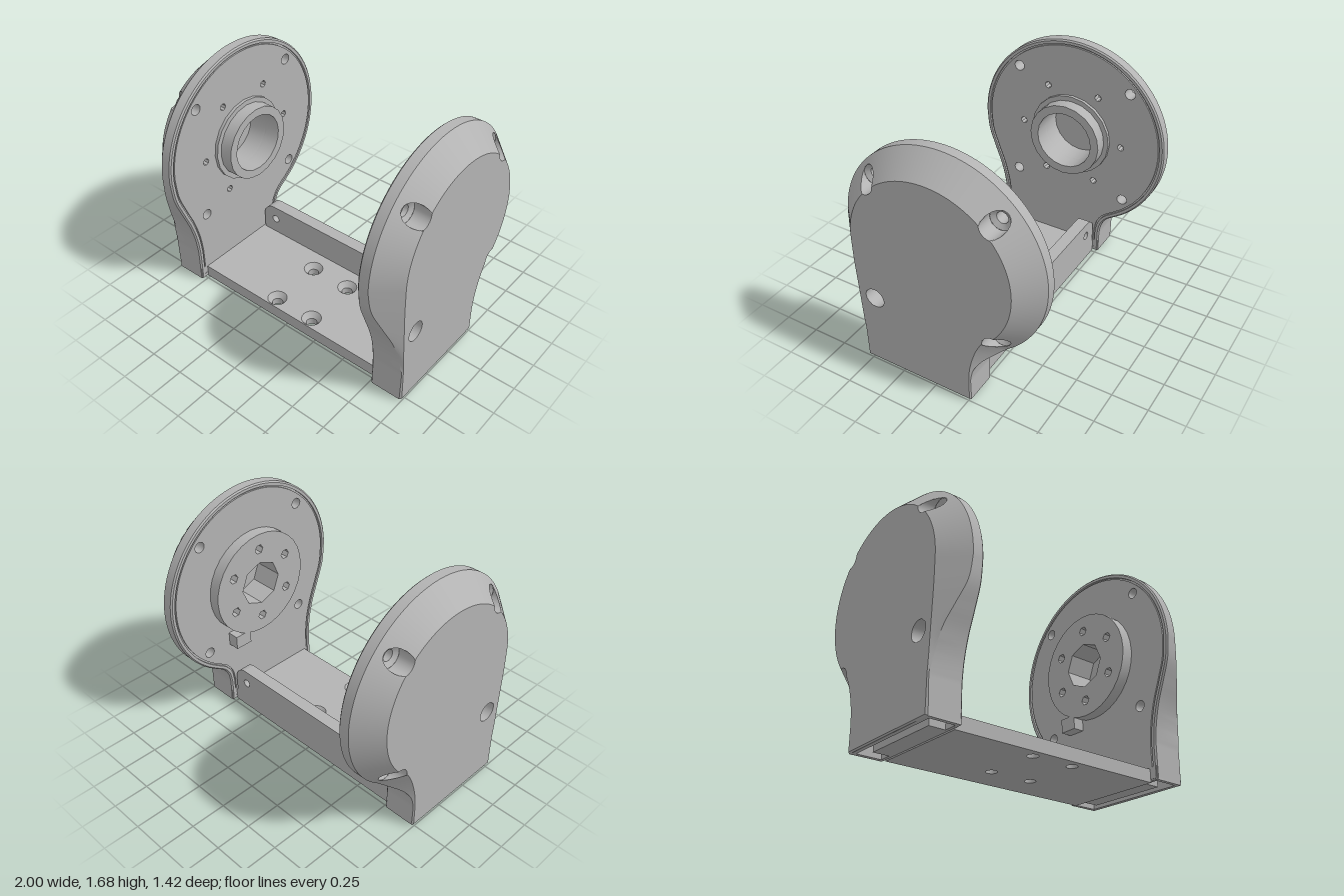
import * as THREE from 'three';
import { toCreasedNormals } from 'three/addons/utils/BufferGeometryUtils.js';

const CY = 0.965, R_OUT = 0.712, R_FACE = 0.565, SLOPE = 1.07;
const SCREWS = [[0.43, 1.395], [-0.43, 1.395], [0.43, 0.54], [-0.43, 0.54]];
const BORE = 0.07, SHAFT = 0.038;
const V = (a, b) => new THREE.Vector2(a, b);
const grey = new THREE.MeshStandardMaterial({ color: 0xb3b3b3, side: THREE.DoubleSide });
grey.name = 'grey';

function add(parent, name, geo) {
  const mesh = new THREE.Mesh(toCreasedNormals(geo, 0.5), grey);
  mesh.name = name;
  parent.add(mesh);
  return mesh;
}

function polygon(u, v, r, n) {
  return Array.from({ length: n }, (_, i) =>
    V(u + r * Math.cos((i / n) * 2 * Math.PI), v + r * Math.sin((i / n) * 2 * Math.PI)));
}

// Outline with holes, drawn in (z, y) and extruded along x
function slabX(pts, holes, x0, x1) {
  const s = new THREE.Shape(pts);
  s.holes = holes.map(h => new THREE.Path(h));
  return new THREE.ExtrudeGeometry(s, { depth: x1 - x0, bevelEnabled: false })
    .rotateY(-Math.PI / 2).translate(x1, 0, 0);
}

// Outline with holes, drawn in (x, z) and extruded along y
function slabY(pts, holes, y0, y1) {
  const s = new THREE.Shape(pts);
  s.holes = holes.map(h => new THREE.Path(h));
  return new THREE.ExtrudeGeometry(s, { depth: y1 - y0, bevelEnabled: false })
    .rotateX(Math.PI / 2).translate(0, y1, 0);
}

const rect = (u0, v0, u1, v1) => [V(u0, v0), V(u1, v0), V(u1, v1), V(u0, v1)];

// Profile of [radius, x] pairs turned about the x axis
const latheX = (profile, n, z, y) =>
  new THREE.LatheGeometry(profile.map(p => V(p[0], p[1])), n).rotateZ(-Math.PI / 2).translate(0, y, z);

// Matching outer and face outlines of a cover, running back, top, front, bottom
function outlines() {
  const outer = [], face = [];
  const curve = (list, out, n) => {
    const p = new THREE.SplineCurve(list.map(q => V(q[0], q[1]))).getPoints(n);
    out.push(...p.slice(0, -1));
  };
  const both = (a, b, n) => { curve(a, outer, n); curve(b, face, n); };
  both([[-0.265, 0.01], [-0.265, 0.18]], [[-0.257, 0.018], [-0.257, 0.18]], 6);
  both([[-0.265, 0.18], [-0.28, 0.26], [-0.32, 0.32], [-0.386, 0.367], [-0.441, 0.406]],
    [[-0.257, 0.18], [-0.265, 0.27], [-0.285, 0.36], [-0.315, 0.45], [-0.35, 0.5215]], 20);
  for (let i = 0; i < 128; i++) {
    const a = (231.7 * (1 - i / 128) * Math.PI) / 180;
    outer.push(V(R_OUT * Math.cos(a), CY + R_OUT * Math.sin(a)));
    face.push(V(R_FACE * Math.cos(a), CY + R_FACE * Math.sin(a)));
  }
  both([[0.712, 0.965], [0.695, 0.81], [0.643, 0.66], [0.59, 0.52], [0.555, 0.38], [0.54, 0.25]],
    [[0.565, 0.965], [0.563, 0.8], [0.556, 0.65], [0.548, 0.5], [0.541, 0.35], [0.533, 0.25]], 28);
  both([[0.54, 0.25], [0.54, 0.01]], [[0.533, 0.25], [0.53, 0.018]], 8);
  both([[0.54, 0.01], [-0.265, 0.01]], [[0.53, 0.018], [-0.257, 0.018]], 16);
  return { outer, face };
}

// Moves a closed outline inwards by d
function inset(pts, d) {
  const n = pts.length;
  return pts.map((p, i) => {
    const t = pts[(i + 1) % n].clone().sub(pts[(i + n - 1) % n]).normalize();
    return V(p.x + t.y * d, p.y - t.x * d);
  });
}

// Height of the cover surface around the screw holes
function coverX(z, y) {
  if (z > 0 && y < 0.9) return 1;
  return Math.min(1, 1 - (Math.hypot(z, y - CY) - R_FACE) * SLOPE);
}

// Flat face, sloped rim and side wall, with the screw holes cut out
function coverShell({ outer, face }) {
  const n = outer.length, pos = [], hole = [], idx = [];
  const FACE = 17, RIM = 7, WALL = 2, rows = FACE + RIM + WALL;
  const centre = V(0, 0.93);
  const edge = inset(outer, 0.01);
  for (let i = 0; i <= rows; i++) {
    for (let j = 0; j < n; j++) {
      const rimX = 1 - outer[j].distanceTo(face[j]) * SLOPE;
      let p, x = 1, h = 0;
      if (i <= FACE) p = centre.clone().lerp(face[j], i / FACE);
      else if (i <= FACE + RIM) {
        const t = (i - FACE) / RIM;
        p = face[j].clone().lerp(outer[j], t);
        x = 1 + (rimX - 1) * t;
      } else if (i === rows) { p = edge[j]; x = 0.765; }
      else { p = outer[j]; x = 0.775; }
      if (i <= FACE + RIM) SCREWS.forEach(([z, y], k) => {
        const d = Math.hypot(p.x - z, p.y - y);
        if (d < BORE) {
          h = k + 1;
          p = V(z + ((p.x - z) * BORE) / d, y + ((p.y - y) * BORE) / d);
          x = coverX(p.x, p.y);
        }
      });
      pos.push(x, p.y, p.x);
      hole.push(h);
    }
  }
  const tri = (a, b, c) => {
    if (!(hole[a] && hole[a] === hole[b] && hole[a] === hole[c])) idx.push(a, b, c);
  };
  for (let i = 0; i < rows; i++) for (let j = 0; j < n; j++) {
    const k = (j + 1) % n;
    // The underside stays open for the pocket frame
    if (i >= FACE + RIM && outer[j].y < 0.011 && outer[k].y < 0.011) continue;
    const a = i * n + j, b = a + n, c = (i + 1) * n + k, d = i * n + k;
    if (i > 0) tri(a, b, d);
    tri(b, c, d);
  }
  const g = new THREE.BufferGeometry();
  g.setAttribute('position', new THREE.Float32BufferAttribute(pos, 3));
  g.setIndex(idx);
  return g;
}

function cover(name, plateHoles) {
  const g = new THREE.Group();
  g.name = name;
  const lines = outlines(), o = lines.outer;
  add(g, 'coverShell', coverShell(lines));
  // Raised lip, groove and inner plate
  add(g, 'innerLip', slabX(inset(o, 0.01), [inset(o, 0.03)], 0.765, 0.78));
  add(g, 'grooveFloor', slabX(inset(o, 0.02), [inset(o, 0.055)], 0.78, 0.785));
  const screwHoles = SCREWS.map(([z, y]) => polygon(z, y, SHAFT, 14));
  add(g, 'innerPlate', slabX(inset(o, 0.042), [...screwHoles, ...plateHoles], 0.768, 0.79));
  // Countersunk screw holes
  for (const [z, y] of SCREWS) {
    const wall = latheX([[BORE, 0.885], [BORE, 1]], 28, z, y), p = wall.attributes.position;
    for (let i = 0; i < p.count; i++) if (p.getX(i) > 0.95) p.setX(i, coverX(p.getZ(i), p.getY(i)));
    add(g, 'screwBore', wall);
    add(g, 'screwShaft', latheX([[BORE, 0.885], [SHAFT, 0.865], [SHAFT, 0.768]], 14, z, y));
  }
  // Hollow foot
  add(g, 'footFrame', slabY(rect(0.768, -0.262, 0.988, 0.537), [rect(0.79, -0.235, 0.96, 0.51)], 0.01, 0.1));
  add(g, 'footRoof', slabY(rect(0.785, -0.24, 0.965, 0.515), [], 0.1, 0.105));
  return g;
}

export function createModel() {
  const model = new THREE.Group();
  model.name = 'yokeBracket';
  const ring = (r, hr, n, phase) => Array.from({ length: 6 }, (_, i) => {
    const a = phase + (i * Math.PI) / 3;
    return polygon(r * Math.cos(a), CY + r * Math.sin(a), hr, n);
  });

  // Cover with the drive disc
  const driveSide = cover('driveCover', [polygon(0, CY, 0.165, 8)]);
  add(driveSide, 'driveDisc', slabX(polygon(0, CY, 0.385, 32),
    [polygon(0, CY, 0.165, 8), ...ring(0.27, 0.035, 6, Math.PI / 6)], 0.685, 0.77));
  add(driveSide, 'discSocket', latheX([[0.165, 0.685], [0.165, 0.9], [0, 0.9]], 8, 0, CY));
  add(driveSide, 'discTab', new THREE.BoxGeometry(0.083, 0.1, 0.13).translate(0.7265, 0.57, -0.185));
  model.add(driveSide);

  // Cover with the bearing collar, mirrored to the other end
  const bearingSide = cover('bearingCover', [polygon(0, CY, 0.21, 20), ...ring(0.39, 0.025, 8, 0)]);
  add(bearingSide, 'bearingCollar', latheX([[0.305, 0.77], [0.305, 0.745], [0.27, 0.745], [0.27, 0.655],
    [0.21, 0.655], [0.21, 0.92], [0, 0.92]], 20, 0, CY));
  for (let i = 0; i < 6; i++) {
    const a = (i * Math.PI) / 3;
    add(bearingSide, 'pinHole', latheX([[0.025, 0.768], [0.025, 0.82], [0, 0.82]], 8,
      0.39 * Math.cos(a), CY + 0.39 * Math.sin(a)));
  }
  bearingSide.scale.x = -1;
  model.add(bearingSide);

  // Base plate with four countersunk holes
  const mounts = [-0.155, 0.155].flatMap(x => [0.015, 0.405].map(z => [x, z]));
  const basePts = rect(-0.77, -0.22, 0.77, 0.48);
  const cut = r => mounts.map(([x, z]) => polygon(x, z, r, 20));
  add(model, 'baseLower', slabY(basePts, cut(0.037), 0, 0.05));
  add(model, 'baseUpper', slabY(basePts, cut(0.068), 0.05, 0.09));
  for (const [x, z] of mounts) {
    add(model, 'countersink', new THREE.CylinderGeometry(0.068, 0.037, 0.04, 20, 1, true).translate(x, 0.07, z));
  }
  for (const s of [-1, 1]) {
    add(model, 'baseTongue', new THREE.BoxGeometry(0.14, 0.08, 0.57).translate(s * 0.83, 0.05, 0.135));
  }

  // Upright back flange with rounded upper corners
  const flange = new THREE.Shape();
  flange.moveTo(-0.755, 0.002);
  flange.lineTo(0.755, 0.002);
  flange.lineTo(0.755, 0.215);
  flange.absarc(0.655, 0.215, 0.1, 0, Math.PI / 2);
  flange.absarc(-0.655, 0.215, 0.1, Math.PI / 2, Math.PI);
  flange.closePath();
  flange.holes = [-0.645, 0.645].map(x => new THREE.Path(polygon(x, 0.21, 0.03, 16)));
  add(model, 'backFlange', new THREE.ExtrudeGeometry(flange, { depth: 0.09, bevelEnabled: false, curveSegments: 10 })
    .translate(0, 0, -0.22));
  return model;
}
